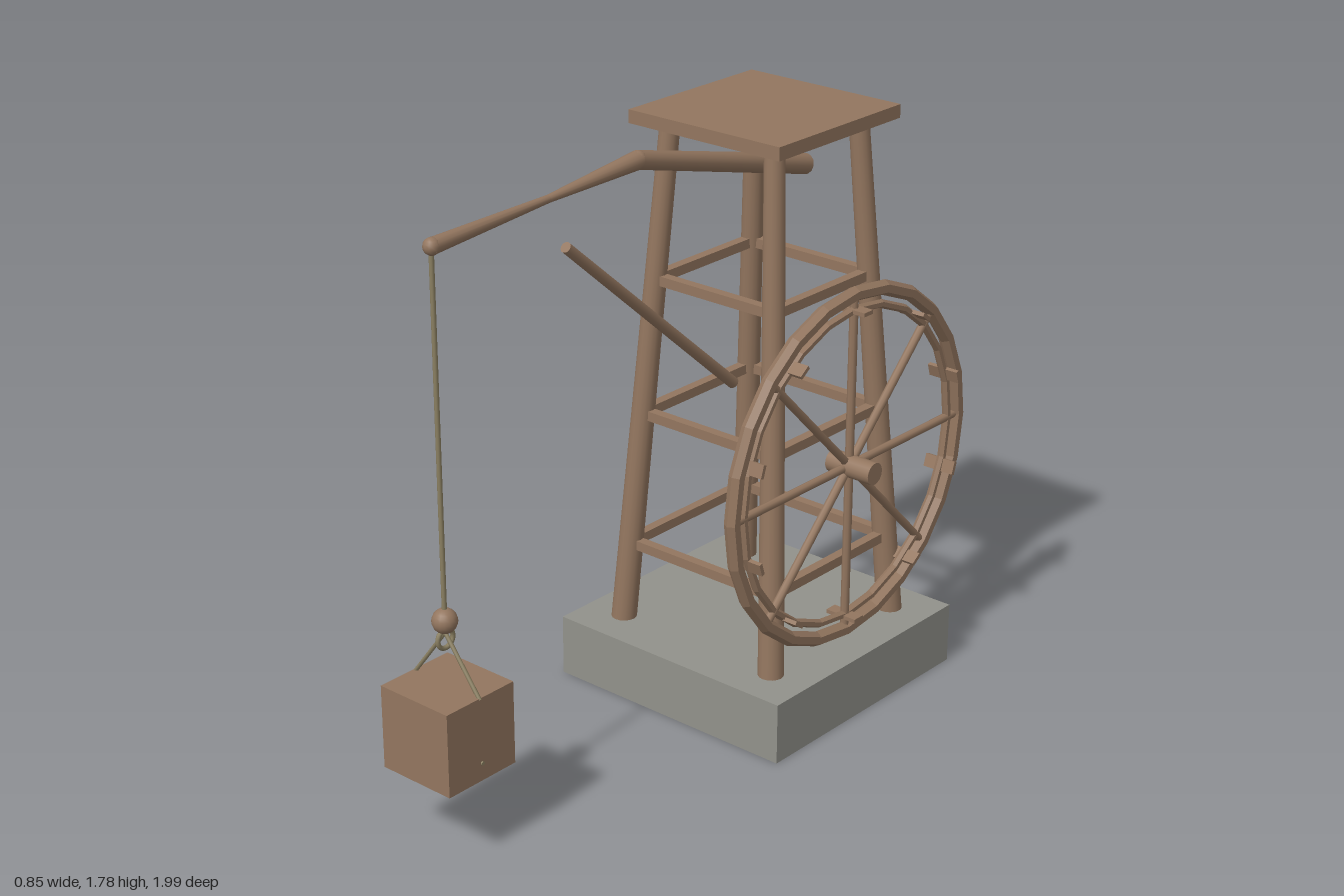
import * as THREE from 'three';

const V = (x, y, z) => new THREE.Vector3(x, y, z);
const mat = (name, color) => {
  const m = new THREE.MeshStandardMaterial({ color });
  m.name = name;
  return m;
};

// faceted copy of a geometry
function faceted(geo) {
  const g = geo.toNonIndexed();
  g.computeVertexNormals();
  return g;
}

export function createModel() {
  const wood = mat('wood', 0x93765f);
  const stone = mat('stone', 0x92928b);
  const rope = mat('rope', 0x8b8062);
  const model = new THREE.Group();
  model.name = 'treadwheelCrane';

  function add(parent, name, geo, material, pos = V(0, 0, 0)) {
    const mesh = new THREE.Mesh(geo, material);
    mesh.name = name;
    mesh.position.copy(pos);
    parent.add(mesh);
    return mesh;
  }
  // round bar from a (radius ra) to b (radius rb)
  function bar(parent, name, a, b, ra, rb, material, sides = 12) {
    const dir = b.clone().sub(a);
    const geo = new THREE.CylinderGeometry(rb, ra, dir.length(), sides);
    const mesh = add(parent, name, geo, material, a.clone().add(b).multiplyScalar(0.5));
    mesh.quaternion.setFromUnitVectors(V(0, 1, 0), dir.normalize());
    return mesh;
  }

  const CX = -0.007, CZ = -0.44;

  // stone base and top deck
  add(model, 'base', new THREE.BoxGeometry(0.84, 0.19, 0.84), stone, V(CX, 0.095, CZ));
  add(model, 'topDeck', new THREE.BoxGeometry(0.545, 0.04, 0.545), wood, V(CX, 1.765, CZ));

  // tower: four leaning legs with three levels of cross braces
  const tower = new THREE.Group();
  tower.name = 'tower';
  tower.position.set(CX, 0, CZ);
  model.add(tower);
  const y0 = 0.18, y1 = 1.738;
  const legOffset = (y) => THREE.MathUtils.mapLinear(y, y0, y1, 0.288, 0.19);
  for (const sx of [-1, 1]) for (const sz of [-1, 1]) {
    const p = (y) => V(sx * legOffset(y), y, sz * legOffset(y));
    bar(tower, 'leg', p(y0), p(y1), 0.039, 0.03, wood, 16);
  }
  for (const y of [0.44, 0.86, 1.28]) {
    const d = legOffset(y);
    for (const s of [-1, 1]) {
      add(tower, 'crossBrace', new THREE.BoxGeometry(2 * d, 0.03, 0.03), wood, V(0, y, s * d));
      add(tower, 'sideBrace', new THREE.BoxGeometry(0.03, 0.03, 2 * d), wood, V(s * d, y, 0));
    }
  }

  // treadwheel on the model's left side, built in the xy plane and turned
  const wheel = new THREE.Group();
  wheel.name = 'wheel';
  wheel.position.set(0.327, 0.775, CZ);
  wheel.rotation.y = Math.PI / 2;
  model.add(wheel);
  add(wheel, 'outerRim', faceted(new THREE.TorusGeometry(0.53, 0.023, 6, 24)), wood);
  add(wheel, 'innerRim', faceted(new THREE.TorusGeometry(0.482, 0.013, 6, 24)), wood);
  for (let i = 0; i < 8; i++) {
    const a = (i * Math.PI) / 4;
    bar(wheel, 'spoke', V(0, 0, 0), V(0.525 * Math.cos(a), 0.525 * Math.sin(a), 0), 0.013, 0.013, wood, 8);
  }
  for (let i = 0; i < 10; i++) {
    const a = Math.PI / 2 + (i * Math.PI) / 5;
    const step = add(wheel, 'step', new THREE.BoxGeometry(0.012, 0.04, 0.105), wood,
      V(0.483 * Math.cos(a), 0.483 * Math.sin(a), 0));
    step.rotation.z = a;
  }
  bar(wheel, 'hub', V(0, 0, -0.062), V(0, 0, 0.093), 0.034, 0.034, wood, 16);

  // boom: thick tail, a bend, a thin waist and a flared tip
  const boom = new THREE.Group();
  boom.name = 'boom';
  model.add(boom);
  const run = [[1.572, -0.63, 0.031], [1.757, 0.1, 0.027], [1.735, 0.45, 0.011], [1.717, 0.877, 0.023]];
  for (let i = 0; i < run.length - 1; i++) {
    const [ya, za, ra] = run[i], [yb, zb, rb] = run[i + 1];
    bar(boom, 'boomSection', V(CX, ya, za), V(CX, yb, zb), ra, rb, wood);
  }
  add(boom, 'bendJoint', new THREE.SphereGeometry(0.027, 12, 8), wood, V(CX, 1.757, 0.1));
  add(boom, 'tipKnob', new THREE.SphereGeometry(0.024, 12, 8), wood, V(CX, 1.717, 0.873));

  // slanting lever pole
  bar(model, 'leverPole', V(CX, 0.984, -0.312), V(CX, 1.585, 0.387), 0.018, 0.016, wood);

  // hanging rope, pulley ball, ring, slings and crate
  const load = new THREE.Group();
  load.name = 'load';
  load.position.set(CX, 0, 0.875);
  model.add(load);
  bar(load, 'rope', V(0, 0.68, 0), V(0, 1.71, 0), 0.007, 0.007, rope, 8);
  add(load, 'ball', new THREE.SphereGeometry(0.036, 16, 12), wood, V(0, 0.67, 0));
  const ring = add(load, 'ring', new THREE.TorusGeometry(0.028, 0.007, 8, 20), rope, V(0, 0.617, 0));
  ring.rotation.y = Math.PI / 2;
  for (const s of [-1, 1]) {
    bar(load, 'sling', V(0, 0.635, 0), V(s * 0.123, 0.475, 0), 0.006, 0.006, rope, 8);
    bar(load, 'cratePin', V(s * 0.11, 0.284, 0), V(s * 0.129, 0.284, 0), 0.006, 0.006, rope, 8);
  }
  add(load, 'crate', new THREE.BoxGeometry(0.25, 0.25, 0.25), wood, V(0, 0.356, 0));

  return model;
}
